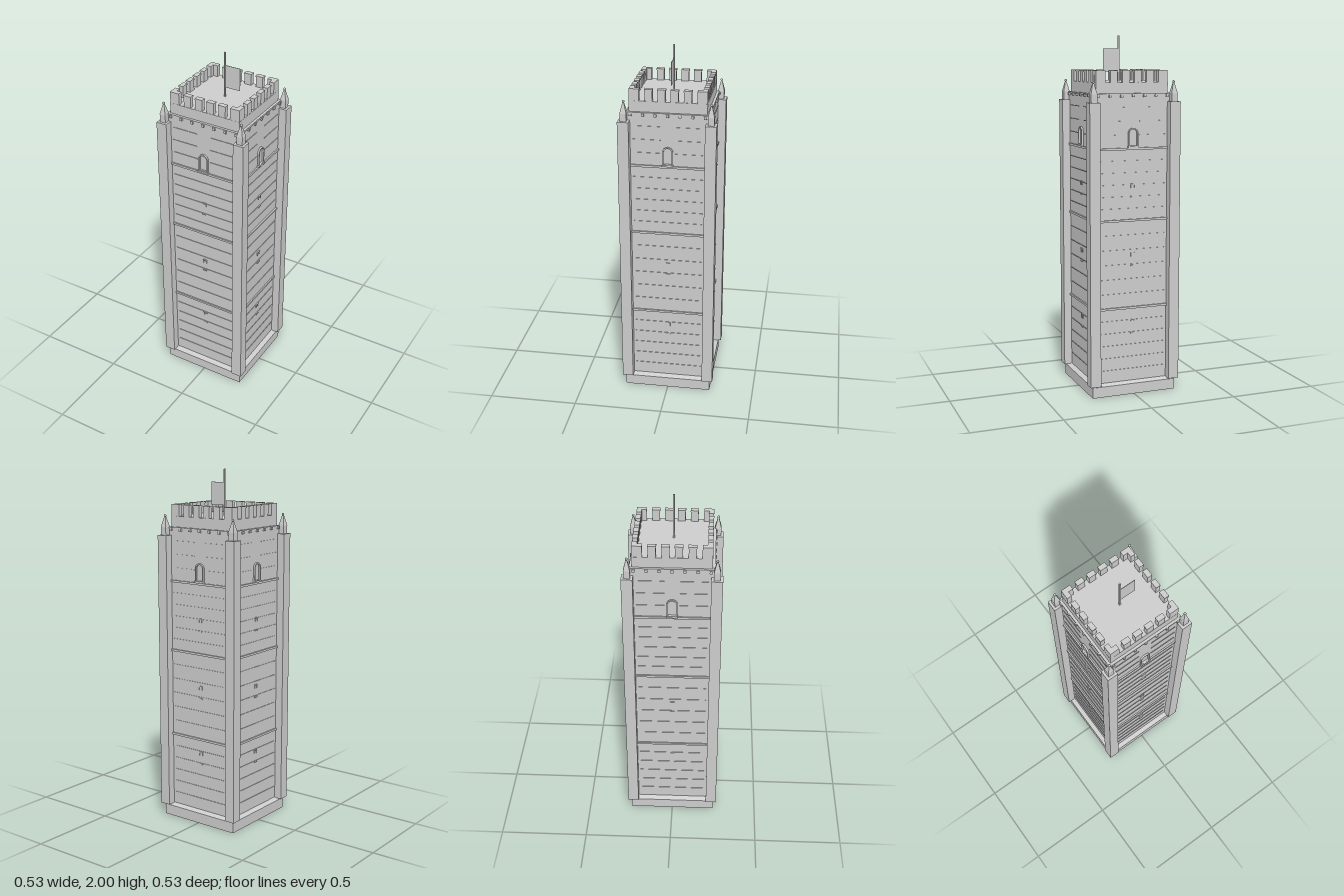
import * as THREE from 'three';

const stone = new THREE.MeshStandardMaterial({ color: 0xcccccc });
stone.name = 'stone';

function add(parent, name, geometry, x = 0, y = 0, z = 0) {
  const mesh = new THREE.Mesh(geometry, stone);
  mesh.name = name;
  mesh.position.set(x, y, z);
  parent.add(mesh);
  return mesh;
}

// Box given by its centre in x and z and its bottom and top heights
function block(parent, name, w, y0, y1, d, x = 0, z = 0) {
  return add(parent, name, new THREE.BoxGeometry(w, y1 - y0, d), x, (y0 + y1) / 2, z);
}

// Square frustum given by half widths
function frustum(parent, name, top, bottom, y0, y1, x = 0, z = 0) {
  const g = new THREE.CylinderGeometry(top * Math.SQRT2, bottom * Math.SQRT2, y1 - y0, 4).toNonIndexed();
  g.rotateY(Math.PI / 4);
  g.computeVertexNormals();
  return add(parent, name, g, x, (y0 + y1) / 2, z);
}

// Arched window surround
function archFrame() {
  const s = new THREE.Shape();
  s.moveTo(-0.029, 0);
  s.lineTo(0.029, 0);
  s.lineTo(0.029, 0.07);
  s.absarc(0, 0.07, 0.029, 0, Math.PI, false);
  s.closePath();
  const hole = new THREE.Path();
  hole.moveTo(-0.022, 0.002);
  hole.lineTo(-0.022, 0.07);
  hole.absarc(0, 0.07, 0.022, Math.PI, 0, true);
  hole.lineTo(0.022, 0.002);
  hole.closePath();
  s.holes.push(hole);
  return new THREE.ExtrudeGeometry(s, { depth: 0.011, bevelEnabled: false, curveSegments: 12 });
}

const WALL = 0.22;

// Everything fixed to one wall, built facing +z
function createSide() {
  const side = new THREE.Group();
  side.name = 'wallDetails';

  // Main string courses and thin masonry bands
  const levels = [0.07, 0.495, 0.99, 1.385];
  for (const y of levels.slice(1)) block(side, 'stringCourse', 0.41, y - 0.006, y + 0.006, 0.016, 0, WALL);
  for (let i = 0; i < 3; i++) {
    const step = (levels[i + 1] - levels[i]) / 6;
    for (let k = 1; k < 6; k++) {
      const y = levels[i] + k * step;
      block(side, 'masonryBand', 0.38, y - 0.002, y + 0.002, 0.006, 0, WALL);
    }
  }
  for (const y of [1.46, 1.535, 1.61]) {
    for (const s of [-1, 1]) block(side, 'masonryBand', 0.15, y - 0.002, y + 0.002, 0.006, s * 0.115, WALL);
  }

  // Belfry window with sill
  add(side, 'windowArch', archFrame(), 0, 1.4, WALL - 0.001);
  block(side, 'windowSill', 0.062, 1.39, 1.4, 0.03, 0, WALL);

  // Arrow slits: small hood and sill
  for (const y of [0.35, 0.735, 1.12]) {
    block(side, 'slitSill', 0.024, y - 0.004, y + 0.004, 0.012, 0, WALL);
    block(side, 'slitHood', 0.024, y + 0.066, y + 0.073, 0.012, 0, WALL);
    for (const s of [-1, 1]) block(side, 'slitJamb', 0.004, y + 0.05, y + 0.066, 0.008, s * 0.01, WALL);
  }

  // Corbels under the cornice
  for (let i = -3; i <= 3; i++) block(side, 'corbel', 0.014, 1.666, 1.682, 0.02, i * 0.067, WALL);

  // Middle merlons with thin caps
  for (const x of [-0.105, -0.035, 0.035, 0.105]) {
    block(side, 'merlon', 0.041, 1.745, 1.802, 0.025, x, 0.196);
    block(side, 'merlonCap', 0.045, 1.802, 1.81, 0.028, x, 0.196);
  }
  return side;
}

export function createModel() {
  const tower = new THREE.Group();
  tower.name = 'tower';

  // Plinth with sloped top, and main shaft
  block(tower, 'plinth', 0.494, 0, 0.06, 0.494);
  frustum(tower, 'plinthSlope', 0.222, 0.247, 0.06, 0.072);
  block(tower, 'shaft', WALL * 2, 0.065, 1.676, WALL * 2);
  block(tower, 'cornice', 0.448, 1.676, 1.686, 0.448);
  block(tower, 'parapet', 0.42, 1.686, 1.745, 0.42);

  // Four matching walls
  for (let i = 0; i < 4; i++) {
    const side = createSide();
    side.rotation.y = i * Math.PI / 2;
    tower.add(side);
  }

  // Corner buttresses, pinnacles and corner merlons
  for (const sx of [-1, 1]) for (const sz of [-1, 1]) {
    const x = sx * 0.234, z = sz * 0.234;
    block(tower, 'buttress', 0.061, 0.068, 1.64, 0.061, x, z);
    frustum(tower, 'pinnacleShaft', 0.017, 0.017, 1.64, 1.684, x, z);
    frustum(tower, 'pinnacleSpire', 0.003, 0.018, 1.684, 1.745, x, z);
    add(tower, 'pinnacleBall', new THREE.SphereGeometry(0.007, 12, 8), x, 1.748, z);
    block(tower, 'cornerMerlon', 0.054, 1.745, 1.81, 0.027, sx * 0.182, sz * 0.196);
    block(tower, 'cornerMerlon', 0.027, 1.745, 1.81, 0.027, sx * 0.196, sz * 0.169);
  }

  // Flagpole and flag
  block(tower, 'flagpole', 0.008, 1.745, 2, 0.008);
  block(tower, 'flag', 0.09, 1.8, 1.927, 0.003, 0.047, 0);
  return tower;
}
